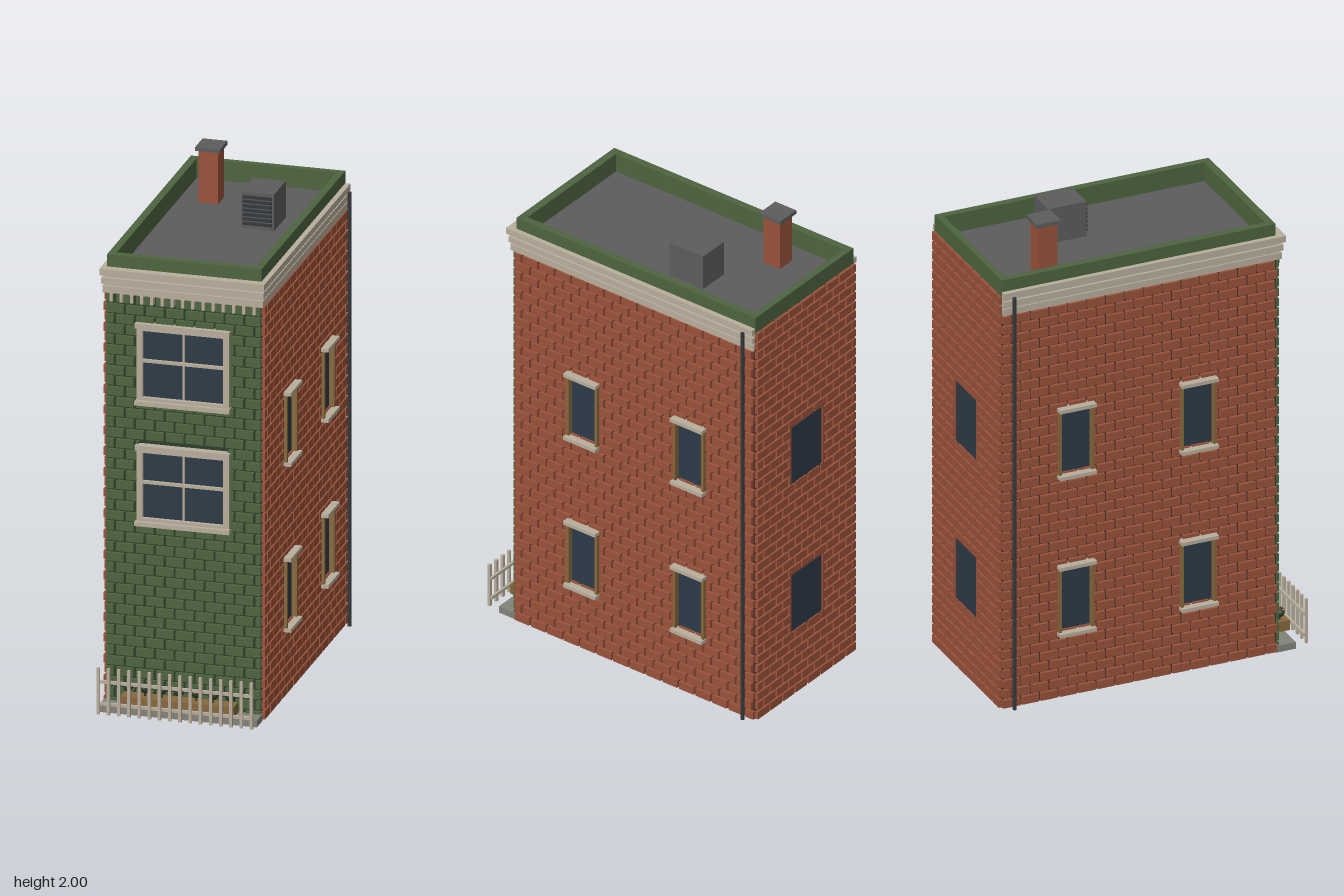
import * as THREE from 'three';
import { mergeGeometries } from 'three/addons/utils/BufferGeometryUtils.js';

const mat = (name, color) => {
  const m = new THREE.MeshStandardMaterial({ color });
  m.name = name;
  return m;
};

export function createModel() {
  const M = {
    red: mat('red brick', 0x99523a),
    mortar: mat('brown mortar', 0x4f3128),
    green: mat('green brick', 0x4d643f),
    darkGreen: mat('dark green', 0x2c3d2a),
    cream: mat('cream trim', 0xb9ae9c),
    glass: mat('window glass', 0x2c3a47),
    wood: mat('wood', 0x86683c),
    roof: mat('roof grey', 0x5c5c5c),
    iron: mat('dark iron', 0x34373a),
    stone: mat('step stone', 0x83827a),
  };
  const model = new THREE.Group();
  model.name = 'townhouse';

  // Box geometry given by its limits on each axis
  const boxGeo = (x0, x1, y0, y1, z0, z1) =>
    new THREE.BoxGeometry(x1 - x0, y1 - y0, z1 - z0)
      .translate((x0 + x1) / 2, (y0 + y1) / 2, (z0 + z1) / 2);
  const add = (parent, name, geo, material) => {
    const mesh = new THREE.Mesh(Array.isArray(geo) ? mergeGeometries(geo) : geo, material);
    mesh.name = name;
    parent.add(mesh);
    return mesh;
  };
  const group = (name, rotation = 0) => {
    const g = new THREE.Group();
    g.name = name;
    g.rotation.y = rotation;
    model.add(g);
    return g;
  };

  // Running-bond bricks over u0..u1, leaving out openings [a, b, bottom, top]
  const PITCH = 0.0425, LENGTH = 0.08, GAP = 0.009;
  const bricks = (u0, u1, top, z, openings) => {
    const out = [];
    for (let row = 0; (row + 1) * PITCH <= top + 0.001; row++) {
      const y0 = row * PITCH + GAP / 2, y1 = (row + 1) * PITCH - GAP / 2;
      const mid = (y0 + y1) / 2;
      for (let u = u0 - (row % 2) * LENGTH / 2; u < u1; u += LENGTH) {
        let spans = [[Math.max(u, u0), Math.min(u + LENGTH - GAP, u1)]];
        for (const [a, b, lo, hi] of openings) {
          if (mid < lo || mid > hi) continue;
          spans = spans.flatMap(([s, e]) => (e <= a || s >= b) ? [[s, e]] : [[s, a], [b, e]]);
        }
        for (const [s, e] of spans)
          if (e - s > 0.006) out.push(boxGeo(s, e, y0, y1, z, z + 0.014));
      }
    }
    return out;
  };

  // Core walls and underside
  add(model, 'wallCore', boxGeo(-0.31, 0.31, 0.004, 1.76, -0.64, 0.515), M.mortar);
  add(model, 'frontBacking', boxGeo(-0.31, 0.31, 0.004, 1.76, 0.515, 0.521), M.darkGreen);
  add(model, 'foundation', boxGeo(-0.31, 0.31, 0, 0.004, -0.64, 0.52), M.roof);

  const FLOORS = [[0.28, 0.57], [0.96, 1.25]];

  // Front wall with two broad windows
  const front = group('frontWall');
  const frontWindows = [[0.76, 1.09], [1.255, 1.59]];
  add(front, 'frontBricks', bricks(-0.31, 0.31, 1.7, 0.521,
    frontWindows.map(([lo, hi]) => [-0.18, 0.18, lo, hi])), M.green);
  for (const [lo, hi] of frontWindows) {
    add(front, 'frontGlass', boxGeo(-0.17, 0.17, lo + 0.01, hi - 0.01, 0.52, 0.526), M.glass);
    const frame = [
      boxGeo(-0.19, 0.19, lo, lo + 0.018, 0.52, 0.558),
      boxGeo(-0.19, 0.19, hi - 0.02, hi, 0.52, 0.555),
      boxGeo(-0.17, 0.17, hi - 0.032, hi - 0.02, 0.52, 0.543),
      boxGeo(-0.17, 0.17, lo + 0.018, lo + 0.03, 0.52, 0.543),
      boxGeo(-0.004, 0.004, lo, hi - 0.02, 0.522, 0.534),
      boxGeo(-0.17, 0.17, (lo + hi) / 2 + 0.005, (lo + hi) / 2 + 0.017, 0.522, 0.538),
    ];
    for (const s of [-1, 1])
      frame.push(boxGeo(s * 0.174 - 0.012, s * 0.174 + 0.012, lo, hi - 0.02, 0.52, 0.543));
    add(front, 'frontWindowFrame', frame, M.cream);
  }

  // Side walls, each with four narrow windows
  for (const s of [1, -1]) {
    const side = group(s > 0 ? 'leftWall' : 'rightWall', s * Math.PI / 2);
    const [u0, u1] = s > 0 ? [-0.52, 0.64] : [-0.64, 0.52];
    const holes = [0.183, -0.335].flatMap(z =>
      FLOORS.map(([lo, hi]) => [-s * z - 0.075, -s * z + 0.075, lo, hi]));
    add(side, 'sideBricks', bricks(u0, u1, 1.7, 0.31, holes), M.red);
    for (const [a, b, lo, hi] of holes) {
      add(side, 'sideGlass', boxGeo(a, b, lo, hi, 0.309, 0.315), M.glass);
      add(side, 'sideJambs', [
        boxGeo(a, a + 0.012, lo, hi, 0.31, 0.337),
        boxGeo(b - 0.012, b, lo, hi, 0.31, 0.337),
      ], M.wood);
      add(side, 'sillAndLintel', [
        boxGeo(a - 0.003, b + 0.003, lo - 0.007, lo + 0.008, 0.31, 0.354),
        boxGeo(a - 0.003, b + 0.003, hi - 0.008, hi + 0.007, 0.31, 0.354),
      ], M.cream);
    }
  }

  // Back wall with one plain window on each floor
  const back = group('backWall', Math.PI);
  const backHoles = FLOORS.map(([lo, hi]) => [-0.1, 0.1, lo, hi]);
  add(back, 'backBricks', bricks(-0.31, 0.31, 1.8, 0.64, backHoles), M.red);
  for (const [a, b, lo, hi] of backHoles) {
    add(back, 'backGlass', boxGeo(a, b, lo, hi, 0.64, 0.648), M.glass);
    add(back, 'backWindowEdge', [
      boxGeo(a - 0.005, a, lo, hi, 0.64, 0.655), boxGeo(b, b + 0.005, lo, hi, 0.64, 0.655),
      boxGeo(a - 0.005, b + 0.005, lo - 0.005, lo, 0.64, 0.655),
      boxGeo(a - 0.005, b + 0.005, hi, hi + 0.005, 0.64, 0.655),
    ], M.red);
  }

  // Stepped cornice on the front and sides, with small brackets below
  const ring = (x, z1, y0, y1) => [
    boxGeo(-x, x, y0, y1, 0.5, z1),
    boxGeo(-x, -0.3, y0, y1, -0.64, 0.5),
    boxGeo(0.3, x, y0, y1, -0.64, 0.5),
  ];
  add(model, 'cornice', [
    ...ring(0.322, 0.541, 1.7, 1.728), ...ring(0.316, 0.532, 1.728, 1.8),
    ...ring(0.326, 0.547, 1.737, 1.762), ...ring(0.331, 0.555, 1.774, 1.8),
  ], M.cream);
  const brackets = [];
  for (let i = 0; i < 15; i++) {
    const x = -0.287 + i * 0.041;
    brackets.push(boxGeo(x - 0.006, x + 0.006, 1.668, 1.7, 0.52, 0.547));
  }
  add(model, 'corniceBrackets', brackets, M.cream);

  // Flat roof and green parapet
  add(model, 'roofDeck', boxGeo(-0.3, 0.3, 1.755, 1.77, -0.63, 0.51), M.roof);
  add(model, 'parapet', [
    boxGeo(-0.31, 0.31, 1.765, 1.85, 0.488, 0.52),
    boxGeo(-0.31, 0.31, 1.765, 1.85, -0.642, -0.615),
    boxGeo(-0.31, -0.28, 1.765, 1.85, -0.615, 0.488),
    boxGeo(0.28, 0.31, 1.765, 1.85, -0.615, 0.488),
  ], M.green);

  // Chimney and rooftop vent
  add(model, 'chimney', boxGeo(-0.195, -0.117, 1.76, 1.985, -0.432, -0.353), M.red);
  add(model, 'chimneyCap', boxGeo(-0.206, -0.106, 1.984, 2, -0.444, -0.342), M.roof);
  add(model, 'ventBox', boxGeo(0.042, 0.175, 1.765, 1.92, -0.283, -0.121), M.roof);
  const slats = [];
  for (let i = 0; i < 7; i++)
    slats.push(boxGeo(0.05, 0.167, 1.787 + i * 0.018, 1.798 + i * 0.018, -0.122, -0.113));
  add(model, 'ventSlats', slats, M.iron);

  // Drainpipes near the back corners
  for (const s of [-1, 1])
    add(model, 'drainpipe',
      new THREE.CylinderGeometry(0.008, 0.008, 1.78, 8).translate(s * 0.339, 0.89, -0.6), M.iron);

  // Front step, planter and shrubs
  add(model, 'frontStep', boxGeo(-0.32, 0.315, 0, 0.028, 0.52, 0.602), M.stone);
  add(model, 'planter', boxGeo(-0.23, 0.226, 0.036, 0.078, 0.555, 0.617), M.wood);
  add(model, 'planterFeet', [-0.2, 0.196].map(x =>
    boxGeo(x - 0.015, x + 0.015, 0.028, 0.037, 0.56, 0.6)), M.wood);
  for (let i = 0; i < 7; i++) {
    const x = -0.207 + i * 0.0685;
    add(model, 'shrub', [
      new THREE.IcosahedronGeometry(0.02, 1).translate(x, 0.11, 0.585),
      new THREE.CylinderGeometry(0.004, 0.004, 0.03, 5).toNonIndexed().translate(x, 0.085, 0.585),
    ], M.darkGreen);
    if (i % 3 === 0)
      add(model, 'flowers', [[-0.011, 0.123, 0.01], [0.012, 0.12, 0.012], [0, 0.129, -0.005]].map(
        ([dx, y, dz]) => new THREE.IcosahedronGeometry(0.006, 0).translate(x + dx, y, 0.585 + dz)), M.red);
  }

  // Picket fence
  const fence = [0.05, 0.14].map(y => boxGeo(-0.315, 0.312, y - 0.006, y + 0.006, 0.637, 0.647));
  for (let i = 0; i < 16; i++) {
    const x = -0.307 + i * 0.041;
    fence.push(boxGeo(x - 0.006, x + 0.006, 0.01, 0.2, 0.646, 0.657));
  }
  add(model, 'fence', fence, M.cream);

  return model;
}
